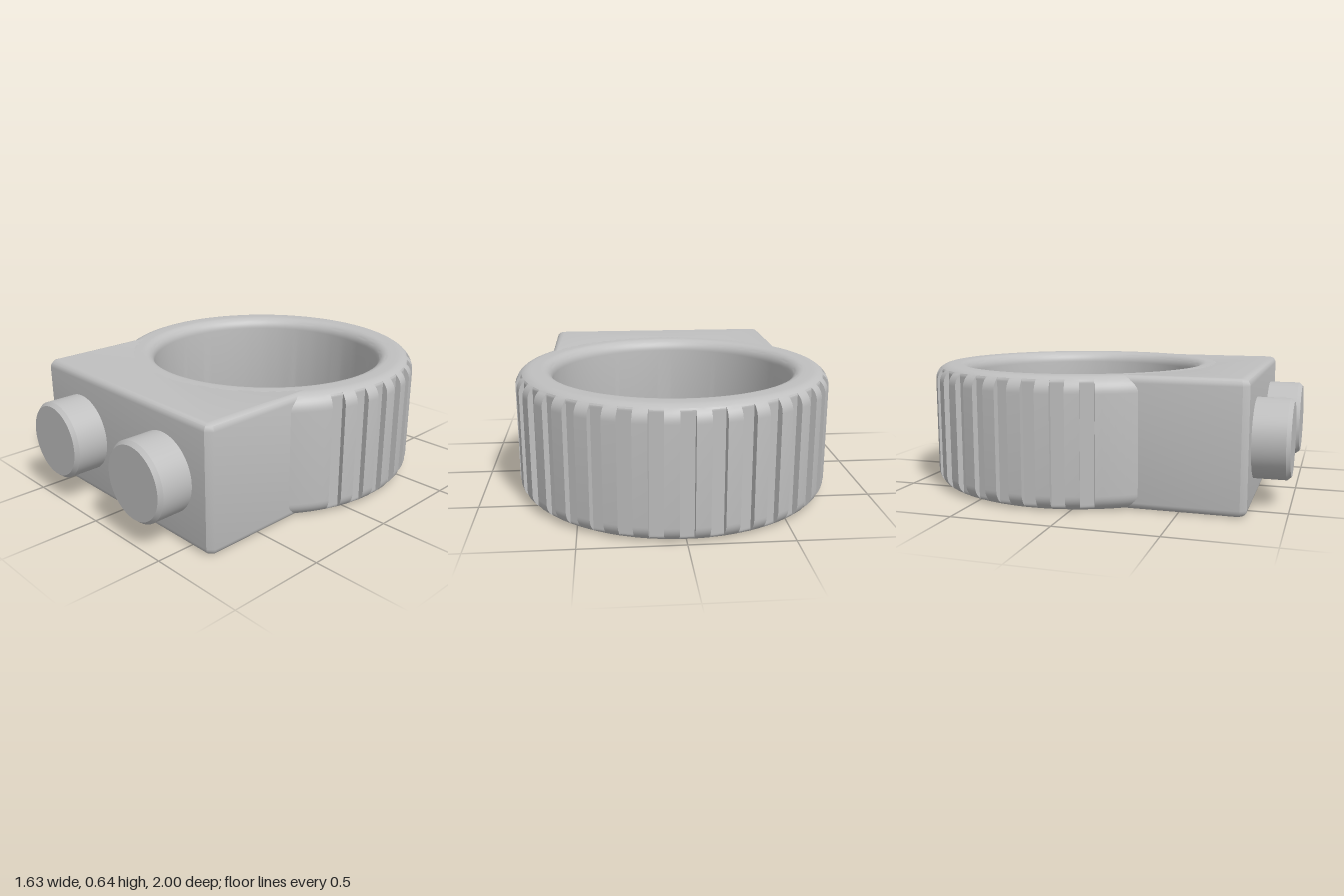
import * as THREE from 'three';
import { toCreasedNormals } from 'three/addons/utils/BufferGeometryUtils.js';

const H = 0.645;          // overall height
const RING_Z = -0.185;    // ring centre
const OUTER = 0.815, FLOOR = 0.786, BORE = 0.625;
const ROUND = 0.08, LIP = 0.06;

// Points of a quarter circle, starting at the given number of degrees
function quarter(cx, cy, r, start, steps = 10) {
  return Array.from({ length: steps + 1 }, (_, i) => {
    const a = THREE.MathUtils.degToRad(start + (90 * i) / steps);
    return [cx + r * Math.cos(a), cy + r * Math.sin(a)];
  });
}

// Rounded ring section swept around y, pressed in to the groove floor where grooved
function ringGeometry() {
  const outer = OUTER - ROUND, inner = BORE + LIP;
  const profile = [
    ...quarter(outer, ROUND, ROUND, -90),
    ...quarter(outer, H - ROUND, ROUND, 0),
    ...quarter(inner, H - LIP, LIP, 90),
    ...quarter(inner, LIP, LIP, 180),
  ];
  const columns = [];
  for (let k = 0; k < 36; k++) {
    const deg = k * 10 - 20;
    if (k <= 22) {
      columns.push([deg - 2.5, false], [deg - 2.5, true], [deg + 2.5, true], [deg + 2.5, false]);
    } else {
      columns.push([deg - 2.5, false], [deg, false], [deg + 2.5, false]);
    }
    columns.push([deg + 5, false]);
  }
  const n = profile.length, positions = [], index = [];
  for (const [deg, grooved] of columns) {
    const a = THREE.MathUtils.degToRad(deg);
    for (const [r, y] of profile) {
      const rr = grooved ? Math.min(r, FLOOR) : r;
      positions.push(rr * Math.cos(a), y, RING_Z - rr * Math.sin(a));
    }
  }
  for (let i = 0; i < columns.length; i++) {
    const p = i * n, q = ((i + 1) % columns.length) * n;
    for (let j = 0; j < n; j++) {
      const k = (j + 1) % n;
      index.push(p + j, q + j, q + k, p + j, q + k, p + k);
    }
  }
  const geometry = new THREE.BufferGeometry();
  geometry.setAttribute('position', new THREE.Float32BufferAttribute(positions, 3));
  geometry.setIndex(index);
  return toCreasedNormals(geometry, 0.5);
}

// Block outline seen from above, hollowed so that its back stays inside the ring wall
function blockGeometry() {
  const bevel = 0.035, w = 0.65, front = 0.82, back = 0.15, cut = 0.03, r = 0.69;
  const a = Math.asin((back - RING_Z) / r);
  const shape = new THREE.Shape();
  shape.moveTo(w, back);
  shape.lineTo(w, front - cut);
  shape.lineTo(w - cut, front);
  shape.lineTo(-w + cut, front);
  shape.lineTo(-w, front - cut);
  shape.lineTo(-w, back);
  shape.absarc(0, RING_Z, r, Math.PI - a, a, true);
  shape.closePath();
  const geometry = new THREE.ExtrudeGeometry(shape, {
    depth: H - 2 * bevel, bevelThickness: bevel, bevelSize: bevel,
    bevelOffset: -bevel, bevelSegments: 4, curveSegments: 40,
  });
  geometry.rotateX(Math.PI / 2).translate(0, H - bevel, 0);
  return toCreasedNormals(geometry, 0.5);
}

// Round stud with a chamfered end, pointing to the front
function studGeometry() {
  const points = [[0.2, -0.02], [0.2, 0.16], [0.183, 0.18], [0, 0.18]];
  const geometry = new THREE.LatheGeometry(points.map(([x, y]) => new THREE.Vector2(x, y)), 64);
  return toCreasedNormals(geometry.rotateX(Math.PI / 2), 0.5);
}

export function createModel() {
  const model = new THREE.Group();
  model.name = 'grippedRingMount';
  const grey = new THREE.MeshStandardMaterial({ color: 0xbfbfbf });
  grey.name = 'grey';

  const add = (name, geometry) => {
    const mesh = new THREE.Mesh(geometry, grey);
    mesh.name = name;
    model.add(mesh);
    return mesh;
  };

  add('groovedRing', ringGeometry());
  add('frontBlock', blockGeometry());
  const stud = studGeometry();
  for (const [name, side] of [['leftStud', 1], ['rightStud', -1]]) {
    add(name, stud).position.set(side * 0.33, 0.325, 0.82);
  }
  return model;
}
